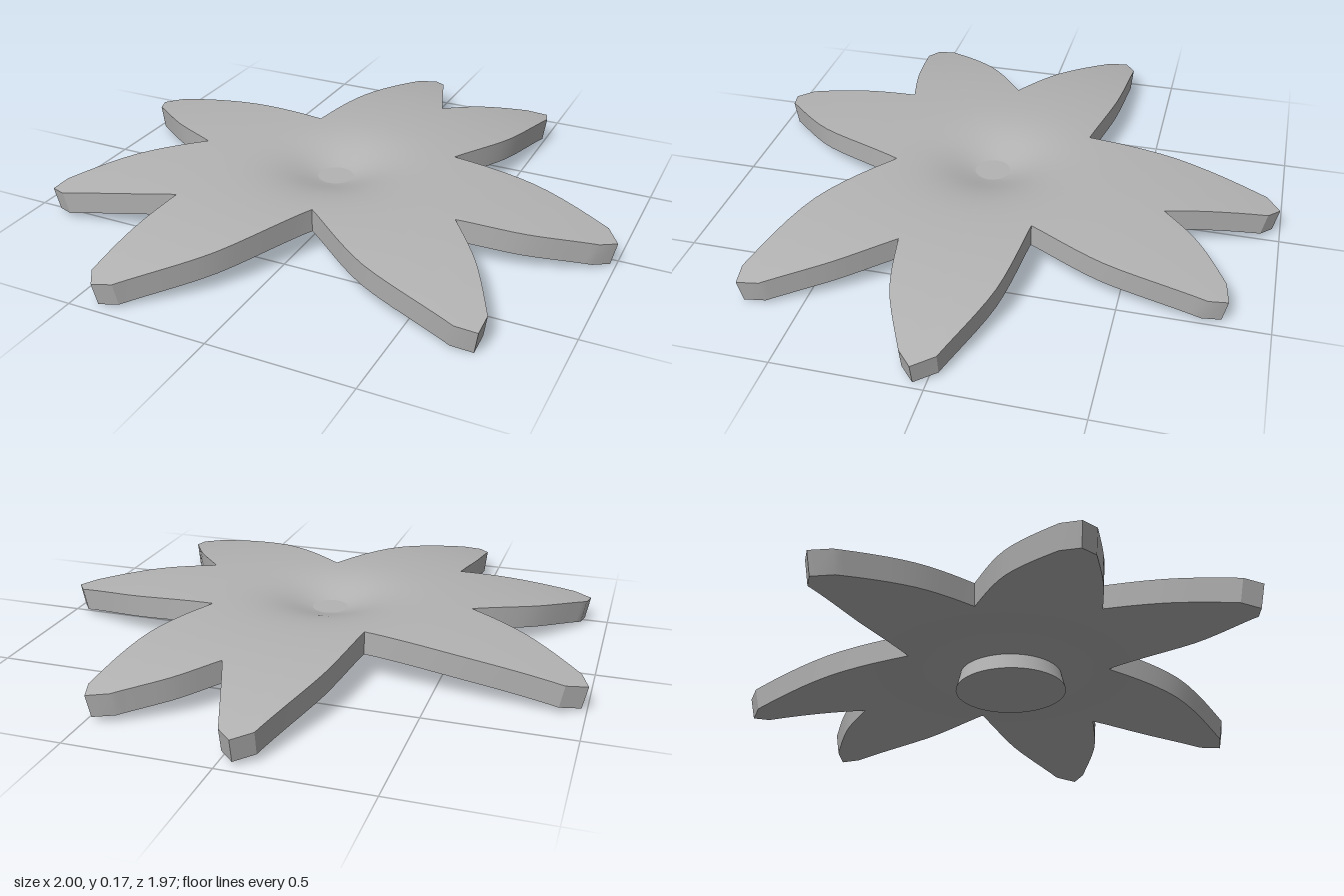
import * as THREE from 'three';
import { toCreasedNormals } from 'three/addons/utils/BufferGeometryUtils.js';

const CX = -0.03, CZ = 0.045, THICK = 0.083, RINGS = 30;

// Each petal (x, z): valley, side, shoulder, tip, shoulder, side; the next valley closes it.
const PETALS = [
  [[-0.25, -0.27], [-0.21, -0.6], [-0.11, -0.94], [-0.05, -0.99], [0, -0.95], [0.08, -0.73]],
  [[0.13, -0.6], [0.25, -0.73], [0.41, -0.84], [0.49, -0.855], [0.51, -0.79], [0.46, -0.45]],
  [[0.34, -0.18], [0.66, -0.14], [0.95, -0.03], [1, 0.04], [0.95, 0.09], [0.73, 0.19]],
  [[0.5, 0.235], [0.64, 0.42], [0.755, 0.63], [0.755, 0.71], [0.68, 0.72], [0.33, 0.6]],
  [[0.05, 0.39], [-0.12, 0.73], [-0.35, 0.965], [-0.42, 0.98], [-0.46, 0.92], [-0.455, 0.7]],
  [[-0.43, 0.475], [-0.63, 0.52], [-0.865, 0.55], [-0.93, 0.52], [-0.92, 0.45], [-0.76, 0.24]],
  [[-0.55, 0.075], [-0.76, -0.05], [-0.97, -0.23], [-1, -0.3], [-0.93, -0.34], [-0.58, -0.325]],
];

// Domed plate with a dip in the middle, drooping toward the petal tips
const dome = (r) => 0.18 - 0.06 * Math.exp(-((r / 0.17) ** 2))
  - 0.085 * (Math.max(0, r - 0.3) / 0.74) ** 2;

function outline() {
  const points = [];
  const side = (list) => {
    const curve = new THREE.SplineCurve(list.map(([x, z]) => new THREE.Vector2(x, z)));
    points.push(...curve.getPoints(12).slice(0, -1));
  };
  PETALS.forEach((p, k) => {
    const nextValley = PETALS[(k + 1) % PETALS.length][0];
    side([p[0], p[1], p[2]]);
    points.push(new THREE.Vector2(...p[2]), new THREE.Vector2(...p[3]));
    side([p[4], p[5], nextValley]);
  });
  return points;
}

// Point on the plate, t from centre to rim, pushed down along the surface normal by depth
function platePoint(rim, t, depth) {
  const dx = (rim.x - CX) * t, dz = (rim.y - CZ) * t;
  const r = Math.hypot(dx, dz);
  const slope = (dome(r + 0.001) - dome(Math.max(0, r - 0.001))) / 0.002;
  const len = Math.hypot(1, slope);
  const k = r > 1e-4 ? 1 + (slope / len) * depth / r : 1;
  const z = CZ + dz * k;
  return [CX + dx * k, dome(r) - depth / len - 0.01 * z, z];
}

// Closed bands of quads between successive loops
function loft(loops, flip) {
  const n = loops[0].length, index = [];
  for (let j = 0; j < loops.length - 1; j++) {
    for (let i = 0; i < n; i++) {
      const i2 = (i + 1) % n;
      const a = j * n + i, b = j * n + i2, c = a + n, d = b + n;
      if (flip) index.push(a, c, d, a, d, b);
      else index.push(a, d, c, a, b, d);
    }
  }
  const geo = new THREE.BufferGeometry();
  geo.setAttribute('position', new THREE.Float32BufferAttribute(loops.flat(2), 3));
  geo.setIndex(index);
  geo.computeVertexNormals();
  return geo;
}

export function createModel() {
  const group = new THREE.Group();
  const grey = new THREE.MeshStandardMaterial({ color: 0xb3b3b3 });
  grey.name = 'plain grey';
  const add = (name, geo) => {
    const mesh = new THREE.Mesh(geo, grey);
    mesh.name = name;
    group.add(mesh);
    return mesh;
  };

  const rim = outline();
  const loop = (t, depth) => rim.map((p) => platePoint(p, t, depth));
  const surface = (depth) =>
    Array.from({ length: RINGS + 1 }, (_, j) => loop(Math.max(j / RINGS, 0.002), depth));

  // Petal plate: upper face, lower face and rim wall
  add('petalTop', loft(surface(0), false));
  add('petalUnderside', loft(surface(THICK), true));
  add('petalRim', toCreasedNormals(loft([loop(1, 0), loop(1, THICK)], false), 0.5));

  // Round foot, whose flat top just shows in the central dip
  const foot = add('foot', new THREE.CylinderGeometry(0.17, 0.198, 0.1125, 64));
  foot.position.set(CX, 0.015 + 0.1125 / 2, CZ);

  return group;
}
